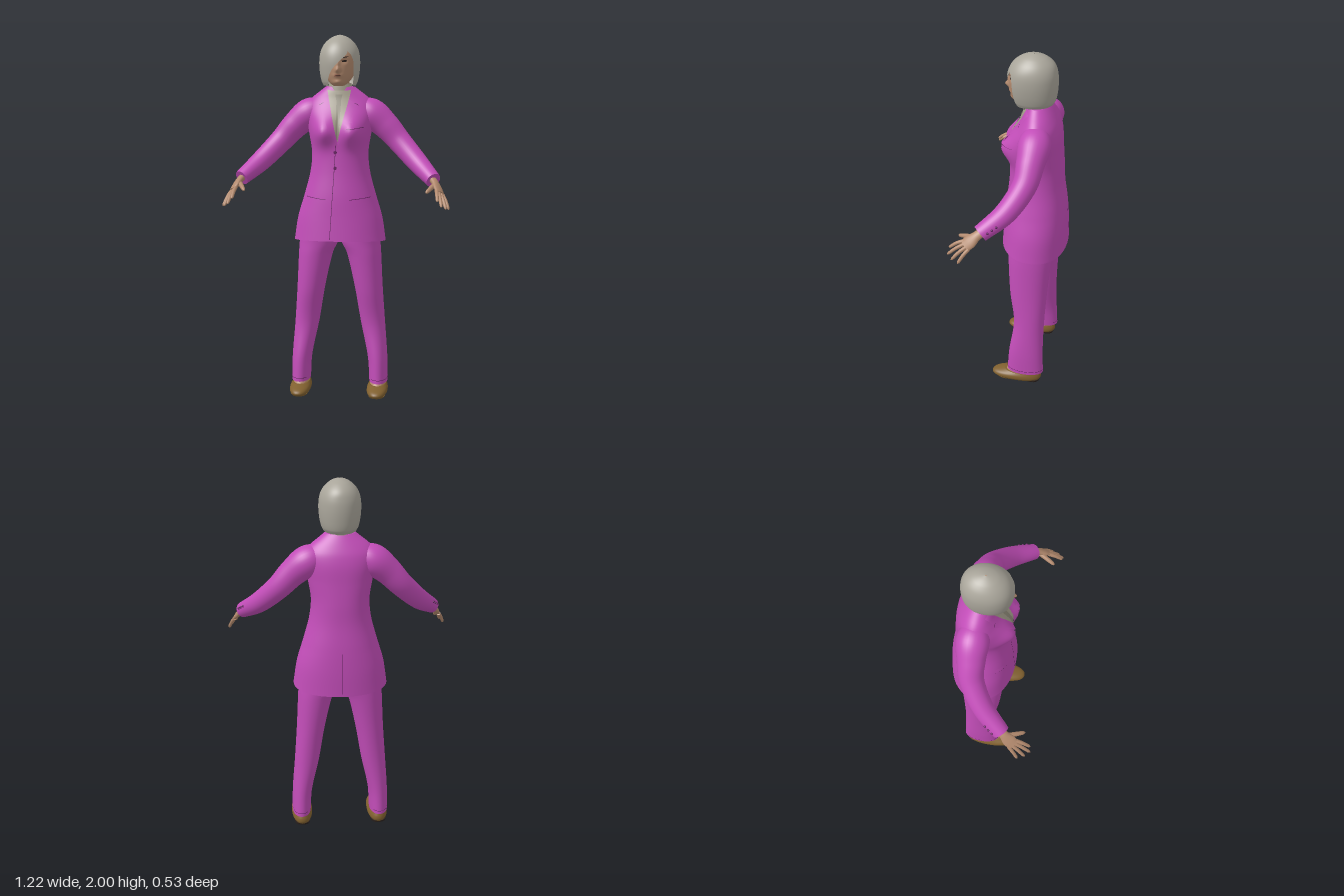
import * as THREE from 'three';

const mat = (name, color, double) => {
  const m = new THREE.MeshStandardMaterial({ color });
  m.name = name;
  if (double) m.side = THREE.DoubleSide;
  return m;
};

// Smooth interpolation of table rows; column 0 is the key
function sample(rows, t) {
  const last = rows.length - 1;
  let i = 0;
  while (i < last - 1 && t > rows[i + 1][0]) i++;
  const h = rows[i + 1][0] - rows[i][0], u = (t - rows[i][0]) / h;
  const slope = (k, c) => {
    const a = rows[Math.max(k - 1, 0)], b = rows[Math.min(k + 1, last)];
    return (b[c] - a[c]) / (b[0] - a[0]);
  };
  return rows[i].map((v, c) => {
    const d = rows[i + 1][c] - v, m0 = slope(i, c) * h, m1 = slope(i + 1, c) * h;
    return v + u * m0 + u * u * (3 * d - 2 * m0 - m1) + u * u * u * (m0 + m1 - 2 * d);
  });
}

// Skin over rings of points; open = rings do not close on themselves
function skin(rings, { open = false, caps = true } = {}) {
  const n = rings[0].length, pos = [], idx = [];
  rings.forEach(r => r.forEach(p => pos.push(p.x, p.y, p.z)));
  for (let i = 0; i < rings.length - 1; i++)
    for (let j = 0; j < (open ? n - 1 : n); j++) {
      const k = (j + 1) % n, a = i * n + j, b = i * n + k;
      idx.push(a, a + n, b, b, a + n, b + n);
    }
  if (caps && !open) [rings[0], rings[rings.length - 1]].forEach((r, top) => {
    const base = pos.length / 3, c = new THREE.Vector3();
    r.forEach(p => { pos.push(p.x, p.y, p.z); c.addScaledVector(p, 1 / n); });
    pos.push(c.x, c.y, c.z);
    for (let j = 0; j < n; j++) {
      const k = (j + 1) % n;
      idx.push(base + n, base + (top ? k : j), base + (top ? j : k));
    }
  });
  const g = new THREE.BufferGeometry();
  g.setAttribute('position', new THREE.Float32BufferAttribute(pos, 3));
  g.setIndex(idx);
  g.computeVertexNormals();
  return g;
}

// Upright body: rows [y, centreX, halfWidth, zFront, zBack, power]
function upright(rows, { steps = 40, n = 48, side = 1, bump, span, caps = true, drop } = {}) {
  const rings = [], y0 = rows[0][0], y1 = rows[rows.length - 1][0];
  for (let i = 0; i <= steps; i++) {
    const [y, cx, w, zf, zb, p] = sample(rows, y0 + (y1 - y0) * i / steps);
    const [a0, a1] = span ? span(y) : [0, Math.PI * 2];
    const ring = [];
    for (let j = 0; j < n; j++) {
      const a = a0 + (a1 - a0) * j / (span ? n - 1 : n), c = Math.cos(a), s = Math.sin(a);
      const x = w * Math.sign(c) * Math.abs(c) ** (2 / p);
      let z = (zf + zb) / 2 + (zf - zb) / 2 * Math.sign(s) * Math.abs(s) ** (2 / p);
      if (bump && s > 0) z += bump(x, y) * Math.min(1, s * 1.6);
      ring.push(new THREE.Vector3(side * cx + x, y + (drop ? drop(y, s) : 0), z));
    }
    rings.push(ring);
  }
  return skin(rings, { open: !!span, caps });
}

// Limb along a path: rows [t, x, y, z, radiusU, radiusV], u = wide direction
function limb(rows, u0, side = 1, steps = 24, n = 20) {
  const rings = [], end = rows[rows.length - 1][0];
  const at = t => { const r = sample(rows, t); return new THREE.Vector3(side * r[1], r[2], r[3]); };
  for (let i = 0; i <= steps; i++) {
    const t = end * i / steps, r = sample(rows, t), c = at(t);
    const d = at(Math.min(t + 0.02, end)).sub(at(Math.max(t - 0.02, 0))).normalize();
    const u = new THREE.Vector3(side * u0[0], u0[1], u0[2]).addScaledVector(d, 0);
    u.addScaledVector(d, -u.dot(d)).normalize();
    const v = u.clone().cross(d);
    rings.push(Array.from({ length: n }, (_, j) => {
      const a = j / n * Math.PI * 2;
      return c.clone().addScaledVector(u, Math.cos(a) * r[4]).addScaledVector(v, Math.sin(a) * r[5]);
    }));
  }
  return skin(rings);
}

const gauss = (d, s) => Math.exp(-((d / s) ** 2));
const TORSO = [[0.87, 0, 0.255, 0.095, -0.26, 2.2], [1.0, 0, 0.235, 0.085, -0.258, 2.2], [1.12, 0, 0.2, 0.077, -0.25, 2.2],
  [1.25, 0, 0.166, 0.062, -0.235, 2.2], [1.36, 0, 0.156, 0.055, -0.23, 2.2], [1.47, 0, 0.172, 0.05, -0.222, 2.2],
  [1.56, 0, 0.185, 0.03, -0.215, 2.2], [1.62, 0, 0.182, 0, -0.2, 2.1], [1.66, 0, 0.155, -0.018, -0.18, 2],
  [1.7, 0, 0.105, -0.03, -0.155, 2], [1.72, 0, 0.08, -0.036, -0.14, 2]];
const HEAD = [[1.728, 0, 0.03, 0.035, -0.05, 2], [1.745, 0, 0.052, 0.048, -0.1, 2], [1.78, 0, 0.075, 0.058, -0.15, 2],
  [1.83, 0, 0.088, 0.061, -0.17, 2.1], [1.88, 0, 0.092, 0.06, -0.17, 2.1], [1.93, 0, 0.085, 0.04, -0.16, 2], [1.97, 0, 0.045, 0, -0.12, 2]];
const bust = (x, y) => 0.055 * gauss(Math.abs(x) - 0.08, 0.06) * gauss(y - 1.48, 0.07);
// Nose, lips, chin and eye sockets
const face = (x, y) => 0.024 * gauss(x, 0.013) * gauss(y - 1.815, 0.016) + 0.011 * gauss(x, 0.011) * gauss(y - 1.845, 0.022)
  + 0.006 * gauss(x, 0.025) * gauss(y - 1.785, 0.012) + 0.008 * gauss(x, 0.025) * gauss(y - 1.748, 0.012)
  - 0.007 * gauss(Math.abs(x) - 0.036, 0.018) * gauss(y - 1.862, 0.014);

// Thin panel laid on a body; corners [bottomLeft, bottomRight, topRight, topLeft]
function panel(rows, bump, corners, off, sign = 1, n = 14) {
  const rings = [];
  for (let i = 0; i <= n; i++) {
    const v = i / n, ring = [];
    for (let j = 0; j <= n; j++) {
      const u = 1 - j / n;
      const [x, y] = [0, 1].map(k => (1 - v) * ((1 - u) * corners[0][k] + u * corners[1][k]) + v * ((1 - u) * corners[3][k] + u * corners[2][k]));
      const [, , w, zf, zb, p] = sample(rows, y);
      const e = Math.max(0, 1 - Math.abs(x / w) ** p) ** (1 / p);
      const z = (zf + zb) / 2 + sign * ((zf - zb) / 2 * e + off) + (sign > 0 ? bump(x, y) * Math.min(1, e * 1.6) : 0);
      ring.push(new THREE.Vector3(x, y, z));
    }
    rings.push(ring);
  }
  return skin(rings, { open: true });
}
const flip = c => [c[1], c[0], c[3], c[2]].map(([x, y]) => [-x, y]);

export function createModel() {
  const group = new THREE.Group();
  const suit = mat('suit purple', 0xc24db8, true), seam = mat('dark purple', 0x6a2565, true);
  const hairMat = mat('grey hair', 0xa9a59a, true), shirt = mat('shirt grey', 0xa39d8b, true), tieMat = mat('tie grey', 0x8f8a79, true);
  const skinMat = mat('skin', 0xb38a6e), shoeMat = mat('shoe brown', 0x80602f), dark = mat('dark', 0x2b211d, true), lipMat = mat('lips', 0x97604f, true);
  const add = (name, geo, m) => {
    const mesh = new THREE.Mesh(geo, m);
    mesh.name = name;
    group.add(mesh);
    return mesh;
  };
  const onTorso = (name, c, off, m, sign) => add(name, panel(TORSO, bust, c, off, sign), m);
  const onFace = (name, c, off, m) => add(name, panel(HEAD, face, c, off), m);

  // Jacket body, hem a little lower at the back
  add('jacket', upright(TORSO, { steps: 70, n: 72, bump: bust,
    drop: (y, s) => 0.016 * s * Math.max(0, 1 - (y - 0.87) / 0.2) }), suit);
  onTorso('shirtFront', [[-0.002, 1.42], [0.002, 1.42], [0.068, 1.7], [-0.068, 1.7]], 0.004, shirt);
  onTorso('tieBlade', [[-0.008, 1.44], [0.008, 1.44], [0.013, 1.645], [-0.013, 1.645]], 0.008, tieMat);
  onTorso('tieKnot', [[-0.011, 1.64], [0.011, 1.64], [0.02, 1.68], [-0.02, 1.68]], 0.014, tieMat);
  onTorso('frontSeam', [[-0.042, 0.895], [-0.039, 0.895], [-0.008, 1.42], [-0.011, 1.42]], 0.003, seam);
  onTorso('backVent', [[-0.0015, 0.87], [0.0015, 0.87], [0.0015, 1.1], [-0.0015, 1.1]], 0.003, seam, -1);
  for (const side of [1, -1]) {
    const m = c => side > 0 ? c : flip(c);
    onTorso('lapel', m([[-0.004, 1.41], [0.008, 1.41], [0.105, 1.62], [0.055, 1.655]]), 0.009, suit);
    onTorso('jacketCollar', m([[0.055, 1.655], [0.1, 1.63], [0.1, 1.695], [0.066, 1.71]]), 0.009, suit);
    onTorso('lapelNotch', m([[0.085, 1.634], [0.108, 1.621], [0.108, 1.624], [0.085, 1.637]]), 0.011, seam);
    onTorso('shirtCollarWing', m([[0.026, 1.645], [0.05, 1.652], [0.066, 1.705], [0.004, 1.695]]), 0.013, shirt);
    onTorso('pocketFlap', m([[0.065, 1.115], [0.175, 1.125], [0.17, 1.152], [0.065, 1.142]]), 0.007, suit);
    onTorso('pocketLine', m([[0.065, 1.112], [0.175, 1.122], [0.175, 1.125], [0.065, 1.115]]), 0.006, seam);
  }
  onTorso('breastPocketSeam', [[0.05, 1.495], [0.14, 1.505], [0.14, 1.508], [0.05, 1.498]], 0.004, seam);
  for (const [x, h] of [[0.068, 0.026], [0.095, 0.034], [0.12, 0.024]])
    onTorso('pocketSquare', [[x - 0.016, 1.505], [x + 0.018, 1.508], [x + 0.01, 1.505 + h], [x - 0.006, 1.505 + h]], 0.009, suit);
  for (const y of [1.37, 1.285]) {
    const b = add('button', new THREE.CylinderGeometry(0.009, 0.009, 0.008, 16), seam);
    b.rotation.x = Math.PI / 2;
    b.position.set(-0.013, y, sample(TORSO, y)[3] + bust(0, y) + 0.003);
  }

  // Neck, shirt collar, head and face
  add('neck', upright([[1.64, 0, 0.058, -0.04, -0.135, 2], [1.72, 0, 0.05, -0.04, -0.135, 2], [1.8, 0, 0.05, -0.03, -0.14, 2]]), skinMat);
  add('shirtCollar', upright([[1.66, 0, 0.084, -0.022, -0.152, 2], [1.7, 0, 0.072, -0.028, -0.145, 2], [1.738, 0, 0.06, -0.034, -0.14, 2]], { caps: false }), shirt);
  add('head', upright(HEAD, { steps: 90, n: 120, bump: face }), skinMat);
  onFace('lips', [[-0.018, 1.779], [0.018, 1.779], [0.014, 1.79], [-0.014, 1.79]], 0.001, lipMat);
  onFace('mouthLine', [[-0.02, 1.7835], [0.02, 1.7835], [0.02, 1.7855], [-0.02, 1.7855]], 0.002, dark);
  for (const side of [1, -1]) {
    const m = c => side > 0 ? c : flip(c);
    onFace('eye', m([[0.024, 1.856], [0.046, 1.857], [0.05, 1.868], [0.022, 1.864]]), 0.001, dark);
    onFace('eyebrow', m([[0.016, 1.875], [0.056, 1.882], [0.056, 1.886], [0.016, 1.881]]), 0.001, dark);
  }

  // Bob haircut swept across the face from a side parting
  const HAIR = [[1.728, 0, 0.088, 0.055, -0.168, 2], [1.75, 0, 0.098, 0.064, -0.18, 2.1], [1.8, 0, 0.108, 0.073, -0.188, 2.1],
    [1.86, 0, 0.111, 0.075, -0.19, 2.1], [1.91, 0, 0.104, 0.064, -0.184, 2.1], [1.95, 0, 0.085, 0.04, -0.168, 2],
    [1.98, 0, 0.054, 0.002, -0.133, 2], [1.995, 0, 0.024, -0.035, -0.095, 2], [2.0, 0, 0.002, -0.062, -0.068, 2]];
  const EDGE = [[1.728, 126, 32], [1.75, 122, 36], [1.8, 110, 40], [1.86, 86, 43], [1.895, 66, 51], [1.915, 60, 60], [2.0, 60, 60]];
  const rad = Math.PI / 180;
  add('hair', upright(HAIR, { steps: 80, n: 96, span: y => {
    const e = sample(EDGE, y);
    return y > 1.915 ? [60 * rad, 420 * rad] : [e[1] * rad, (e[2] + 360) * rad];
  } }), hairMat);

  const ARM = [[0, 0.09, 1.6, -0.1, 0.06, 0.06], [1, 0.17, 1.572, -0.105, 0.086, 0.084], [2, 0.25, 1.508, -0.1, 0.074, 0.074],
    [3, 0.33, 1.42, -0.085, 0.064, 0.064], [4, 0.43, 1.315, -0.012, 0.057, 0.056], [5, 0.52, 1.232, 0.1, 0.045, 0.042]];
  const LEG = [[0.065, 0.221, 0.052, 0.034, -0.175, 2.1], [0.2, 0.215, 0.055, 0.025, -0.17, 2.1], [0.4, 0.187, 0.068, 0.002, -0.17, 2.1],
    [0.6, 0.163, 0.078, 0.028, -0.18, 2.1], [0.8, 0.135, 0.096, 0.042, -0.195, 2.1], [0.87, 0.116, 0.11, 0.045, -0.2, 2.1], [0.97, 0.11, 0.11, 0.05, -0.2, 2.1]];
  const SPREAD = [0.61, -0.51, -0.61];
  const TIPS = [[0.545, 1.14, 0.258], [0.567, 1.112, 0.262], [0.59, 1.097, 0.237], [0.605, 1.09, 0.2]];
  for (const side of [1, -1]) {
    // Sleeve with cuff buttons
    add('sleeve', limb(ARM, [0, 0, 1], side, 48, 32), suit);
    for (const t of [4.5, 4.66, 4.82]) {
      const r = sample(ARM, t);
      add('cuffButton', new THREE.SphereGeometry(0.007, 10, 8), seam)
        .position.set(side * (r[1] + 0.84 * r[4]), r[2] + 0.21 * r[4], r[3] - 0.5 * r[4]);
    }
    // Palm, fingers and thumb
    add('palm', limb([[0, 0.505, 1.245, 0.08, 0.026, 0.02], [1, 0.528, 1.222, 0.115, 0.026, 0.018], [2, 0.545, 1.195, 0.145, 0.036, 0.016],
      [3, 0.558, 1.172, 0.172, 0.034, 0.012]], SPREAD, side), skinMat);
    TIPS.forEach((tip, i) => {
      const k = [0.555, 1.175, 0.165].map((v, c) => v + SPREAD[c] * (i - 1.5) * 0.0175);
      const mid = k.map((v, c) => (v + tip[c]) / 2 + (c === 1 ? 0.006 : 0));
      add('finger', limb([[0, ...k, 0.0105, 0.0105], [1, ...mid, 0.0095, 0.0095], [1.85, ...tip.map((v, c) => v * 0.85 + mid[c] * 0.15), 0.0075, 0.0075],
        [2, ...tip, 0.003, 0.003]], SPREAD, side, 14, 12), skinMat);
    });
    add('thumb', limb([[0, 0.53, 1.212, 0.125, 0.014, 0.014], [1, 0.507, 1.197, 0.175, 0.0125, 0.0125], [1.85, 0.489, 1.183, 0.213, 0.009, 0.009],
      [2, 0.485, 1.179, 0.221, 0.003, 0.003]], [0, 1, 0], side, 14, 12), skinMat);
    // Trouser leg, foot and slip-on shoe
    add('trouserLeg', upright(LEG, { side }), suit);
    add('cuffSeam', upright([[0.083, 0.221, 0.0525, 0.0345, -0.1755, 2.1], [0.086, 0.221, 0.0525, 0.0345, -0.1755, 2.1]], { side, steps: 1, caps: false }), seam);
    add('foot', upright([[0.03, 0.218, 0.046, 0.05, -0.145, 2.1], [0.06, 0.218, 0.043, 0.035, -0.14, 2.1], [0.1, 0.218, 0.036, -0.02, -0.13, 2]], { side, steps: 10 }), skinMat);
    add('shoe', upright([[0.006, 0.218, 0.05, 0.114, -0.155, 2.3], [0.02, 0.218, 0.058, 0.125, -0.162, 2.3], [0.038, 0.218, 0.057, 0.108, -0.162, 2.2],
      [0.055, 0.218, 0.048, 0.052, -0.156, 2.1]], { side, steps: 14 }), shoeMat);
    add('sole', upright([[0.002, 0.218, 0.046, 0.105, -0.05, 2.2], [0.008, 0.218, 0.049, 0.11, -0.055, 2.2]], { side, steps: 1 }), shoeMat);
    add('heel', upright([[0, 0.218, 0.042, -0.07, -0.154, 2.4], [0.01, 0.218, 0.044, -0.068, -0.156, 2.4]], { side, steps: 1 }), dark);
  }
  return group;
}
